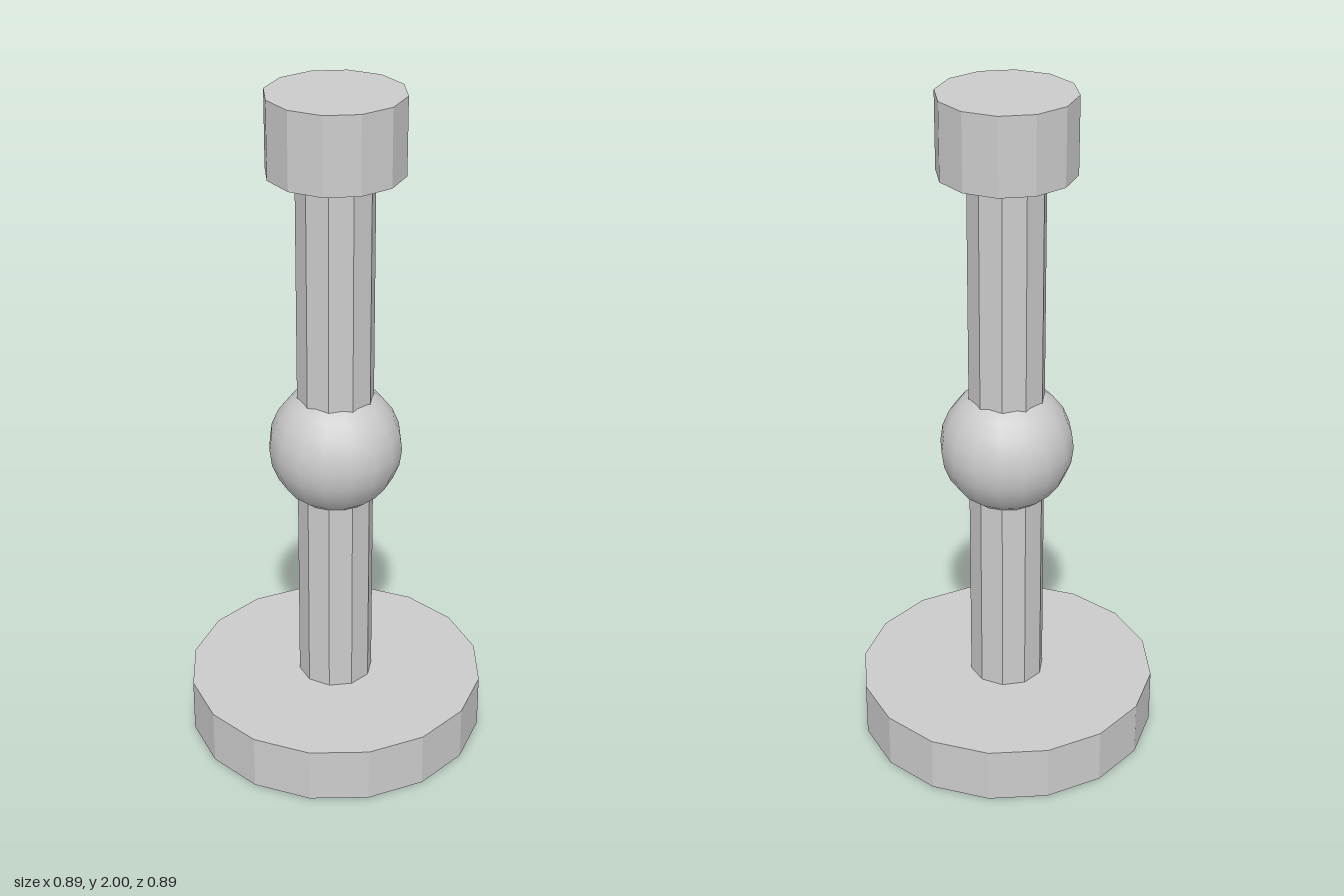
import * as THREE from 'three';

const U = 1 / 9; // design unit: the model is 18 units tall

export function createModel() {
  const group = new THREE.Group();
  const faceted = new THREE.MeshStandardMaterial({ color: 0xcccccc, flatShading: true });
  const smooth = new THREE.MeshStandardMaterial({ color: 0xcccccc });

  // Upright faceted cylinder between two heights
  const post = (name, radius, y0, y1, sides) => {
    const mesh = new THREE.Mesh(
      new THREE.CylinderGeometry(radius * U, radius * U, (y1 - y0) * U, sides), faceted);
    mesh.name = name;
    mesh.position.y = (y0 + y1) / 2 * U;
    group.add(mesh);
  };

  post('base', 4, 0, 1.5, 16);
  post('shaft', 1, 1.5, 16, 10);
  post('cap', 1.75, 16, 18, 12);

  // Round knob at the middle of the shaft
  const knob = new THREE.Mesh(new THREE.SphereGeometry(1.75 * U, 16, 12), smooth);
  knob.name = 'knob';
  knob.position.y = 8.5 * U;
  group.add(knob);

  return group;
}
